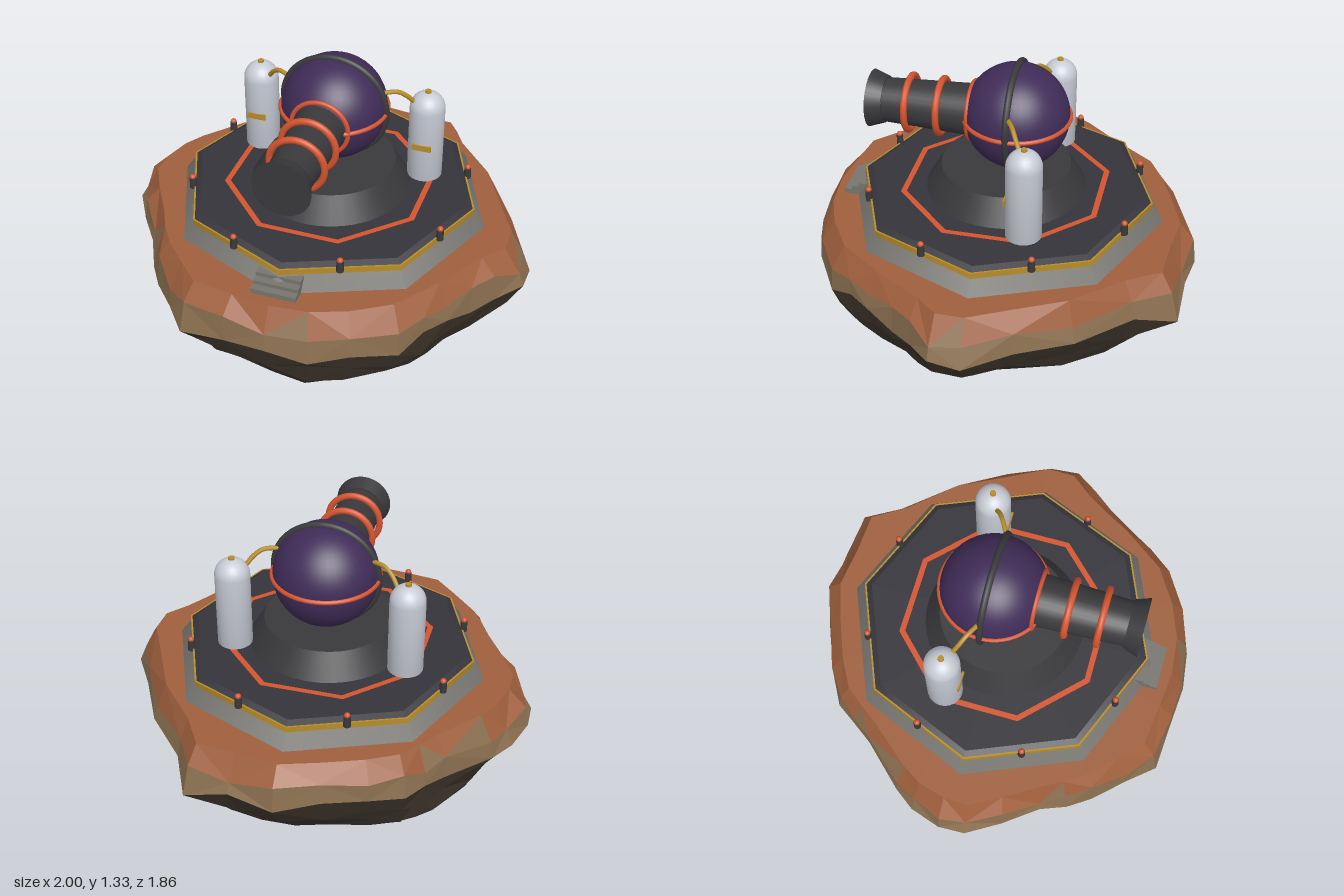
import * as THREE from 'three';

const mat = (name, color) => {
  const m = new THREE.MeshStandardMaterial({ color });
  m.name = name;
  return m;
};

export function createModel() {
  const model = new THREE.Group();
  model.name = 'cannonOutpost';

  const rust = mat('rustSoil', 0x9f5f3d);
  const tan = mat('tanRock', 0x8a6f50);
  const darkRock = mat('darkRock', 0x3b332a);
  const grey = mat('greyConcrete', 0x777570);
  const deckDark = mat('deckDark', 0x35343b);
  const gunmetal = mat('gunmetal', 0x39393c);
  const purple = mat('purpleShell', 0x402c58);
  const orange = mat('orangeTrim', 0xd4542f);
  const gold = mat('goldTrim', 0xb88d2a);
  const white = mat('paleTank', 0xc8ccd6);

  const add = (name, geo, material, x = 0, y = 0, z = 0, parent = model) => {
    const m = new THREE.Mesh(geo, material);
    m.name = name;
    m.position.set(x, y, z);
    parent.add(m);
    return m;
  };

  // Rock island: an irregular outline (x, z), rounded off and shifted by height rows
  let seed = 7;
  const rnd = () => {
    seed = (seed * 16807) % 2147483647;
    return seed / 2147483647 - 0.5;
  };
  const outline = [
    [1, -0.02], [1, 0.13], [0.89, 0.24], [0.81, 0.35], [0.73, 0.49], [0.65, 0.6], [0.57, 0.72], [0.38, 0.84],
    [0.2, 0.91], [0, 0.93], [-0.2, 0.91], [-0.42, 0.89], [-0.53, 0.77], [-0.66, 0.63], [-0.73, 0.52], [-0.79, 0.4],
    [-0.9, 0.24], [-1, 0.08], [-1, -0.05], [-0.95, -0.2], [-0.88, -0.3], [-0.69, -0.5], [-0.62, -0.6], [-0.55, -0.7],
    [-0.4, -0.78], [-0.2, -0.86], [0, -0.94], [0.22, -0.91], [0.435, -0.91], [0.53, -0.72], [0.74, -0.48], [0.87, -0.23],
  ];
  // height, scale, roundness, shift x, shift z, jitter
  const rows = [
    [0, 0.61, 1, -0.07, 0.0, 0], [0.07, 0.81, 0.9, -0.03, 0.02, 0.04], [0.16, 0.89, 0.7, -0.01, 0.03, 0.05],
    [0.25, 0.955, 0.3, 0, 0.01, 0.04], [0.35, 1, 0, 0, 0, 0.01], [0.46, 0.985, 0.1, 0, 0, 0.03],
    [0.56, 0.91, 0.2, 0, 0, 0],
  ];
  const n = outline.length;
  const top = rows.length - 1;
  const grid = rows.map(([y, s, round, dx, dz, j], r) => outline.map(([x, z]) => {
    const k = (s + (rnd() - 0.3) * j) * THREE.MathUtils.lerp(1, 0.92 / Math.hypot(x, z), round);
    const h = r === 0 || r === top ? y : y + rnd() * 0.07;
    return [THREE.MathUtils.clamp(x * k + dx, -1, 1), h, z * k + dz];
  }));
  const faces = { soilCap: [], rockBand: [], rockUnderside: [] };
  const tri = (a, b, c) => {
    const y = (a[1] + b[1] + c[1]) / 3 + rnd() * 0.03;
    const key = y > 0.475 ? 'soilCap' : y > 0.355 ? 'rockBand' : 'rockUnderside';
    faces[key].push(...a, ...b, ...c);
  };
  for (let i = 0; i < n; i++) {
    const j = (i + 1) % n;
    for (let r = 0; r < top; r++) {
      const [a, b, c, d] = [grid[r][i], grid[r][j], grid[r + 1][i], grid[r + 1][j]];
      if ((i + r) % 2) {
        tri(a, c, b);
        tri(b, c, d);
      } else {
        tri(a, d, b);
        tri(a, c, d);
      }
    }
    tri(grid[0][i], grid[0][j], [0, 0, 0]);
    tri(grid[top][j], grid[top][i], [0, 0.56, 0]);
  }
  const rockMats = { soilCap: rust, rockBand: tan, rockUnderside: darkRock };
  for (const key of Object.keys(faces)) {
    const g = new THREE.BufferGeometry();
    g.setAttribute('position', new THREE.Float32BufferAttribute(faces[key], 3));
    g.computeVertexNormals();
    add(key, g, rockMats[key]);
  }

  // Octagonal platform: foundation, gold edge, deck
  const octagon = (rTop, rBottom, y0, y1) =>
    new THREE.CylinderGeometry(rTop, rBottom, y1 - y0, 8).translate(0, (y0 + y1) / 2, 0);
  add('foundation', octagon(0.714, 0.768, 0.555, 0.63), grey);
  add('goldEdge', octagon(0.713, 0.714, 0.63, 0.658), gold);
  add('deck', octagon(0.675, 0.704, 0.658, 0.673), deckDark);

  // Painted octagonal line on the deck
  const line = new THREE.RingGeometry(0.483, 0.512, 8, 1, Math.PI / 8);
  add('deckLine', line.rotateX(-Math.PI / 2), orange, 0, 0.677, 0);

  // Front steps
  for (let i = 0; i < 3; i++) {
    const h = 0.03 + i * 0.02;
    add('step', new THREE.BoxGeometry(0.214, h, 0.12 - i * 0.035), grey, 0, 0.555 + h / 2, 0.73 - i * 0.0175);
  }

  // Edge lamps in the middle of each platform side
  for (let i = 0; i < 8; i++) {
    const a = (i + 0.5) * Math.PI / 4;
    const x = Math.cos(a) * 0.664, z = Math.sin(a) * 0.664;
    add('lampPost', new THREE.CylinderGeometry(0.016, 0.018, 0.055, 10), gunmetal, x, 0.673, z);
    add('lampBulb', new THREE.SphereGeometry(0.015, 10, 8), orange, x, 0.704, z);
  }

  // Turret: pedestal, ball and its two bands
  add('pedestal', new THREE.CylinderGeometry(0.31, 0.385, 0.127, 40), gunmetal, 0, 0.7335, 0);
  const turret = new THREE.Group();
  turret.name = 'turret';
  turret.position.set(0, 1.06, -0.05);
  model.add(turret);
  add('ball', new THREE.SphereGeometry(0.25, 40, 28), purple, 0, 0, 0, turret);
  add('verticalBand', new THREE.TorusGeometry(0.253, 0.016, 10, 56), gunmetal, 0, 0, 0, turret);
  add('equatorBand', new THREE.TorusGeometry(0.252, 0.011, 8, 56).rotateX(Math.PI / 2), orange, 0, 0, 0, turret);

  // Barrel, muzzle and rings along +z
  const tube = (front, back, z0, z1) =>
    new THREE.CylinderGeometry(front, back, z1 - z0, 32).rotateX(Math.PI / 2).translate(0, 0, (z0 + z1) / 2);
  add('barrel', tube(0.105, 0.126, 0.15, 0.64), gunmetal, 0, 0, 0, turret);
  add('muzzle', tube(0.138, 0.112, 0.63, 0.703), gunmetal, 0, 0, 0, turret);
  for (const [z, r, t] of [[0.21, 0.137, 0.011], [0.36, 0.13, 0.016], [0.512, 0.13, 0.016]]) {
    add('barrelRing', new THREE.TorusGeometry(r, t, 10, 40), orange, 0, 0, z, turret);
  }

  // Fuel tanks with caps, labels and hoses on both sides
  const profile = [new THREE.Vector2(0, 0.688), new THREE.Vector2(0.084, 0.688)];
  for (let i = 0; i <= 8; i++) {
    const a = (i / 8) * Math.PI / 2;
    profile.push(new THREE.Vector2(Math.max(0, Math.cos(a) * 0.084), 1.058 + Math.sin(a) * 0.084));
  }
  const tankGeo = new THREE.LatheGeometry(profile, 24);
  for (const s of [1, -1]) {
    const x = s * 0.417, z = -0.175;
    add('tank', tankGeo, white, x, 0, z);
    add('tankCap', new THREE.CylinderGeometry(0.014, 0.016, 0.02, 10), gold, x, 1.142, z);
    add('tankLabel', new THREE.BoxGeometry(0.092, 0.03, 0.009), gold, x, 0.878, z + 0.082);
    const path = new THREE.CatmullRomCurve3([
      [0.39, 1.06, -0.155], [0.36, 1.098, -0.14], [0.33, 1.138, -0.117],
      [0.29, 1.166, -0.093], [0.225, 1.165, -0.058],
    ].map(([px, py, pz]) => new THREE.Vector3(s * px, py, pz)));
    add('hose', new THREE.TubeGeometry(path, 24, 0.011, 8), gold);
  }

  return model;
}
